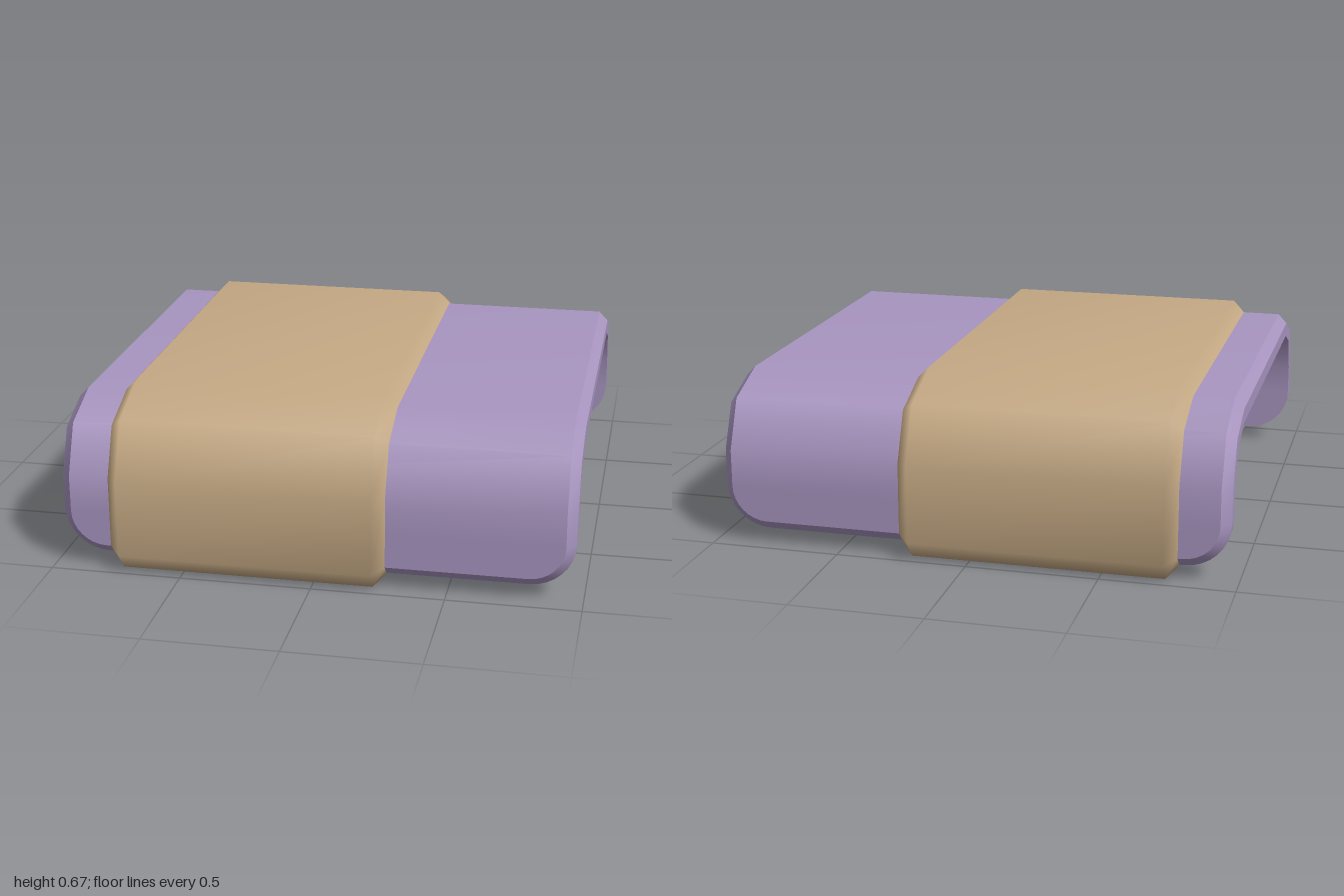
import * as THREE from 'three';
import { mergeGeometries } from 'three/addons/utils/BufferGeometryUtils.js';

// Smooth surface through rows of [x, y, z] points
function grid(rows) {
  const n = rows[0].length, index = [];
  for (let r = 0; r < rows.length - 1; r++) {
    for (let c = 0; c < n - 1; c++) {
      const a = r * n + c, d = a + n;
      index.push(a, a + 1, d + 1, a, d + 1, d);
    }
  }
  const g = new THREE.BufferGeometry();
  g.setAttribute('position', new THREE.Float32BufferAttribute(rows.flat(2), 3));
  g.setIndex(index);
  g.computeVertexNormals();
  return g;
}

// Continue stations of one leg over the top and down the other side
const mirror = (half) => [
  ...half,
  ...half.slice().reverse().map((row) => row.map(([x, y, z]) => [x, y, -z])),
];

// Thick draped sheet with rounded corners and a chamfered outer rim
function sheetGeometry() {
  const half = [];
  const station = (hw, rimHw, inner, outer, mid) => {
    const [zi, yi] = inner, [zo, yo] = outer, [zm, ym] = mid;
    half.push([
      [-hw, yi, zi], [-hw, ym, zm], [-rimHw, yo, zo],
      [rimHw, yo, zo], [hw, ym, zm], [hw, yi, zi],
    ]);
  };
  // rounded lower corners
  const steps = 8;
  for (let i = 0; i <= steps; i++) {
    const a = (i / steps) * Math.PI / 2, s = Math.sin(a), c = 1 - Math.cos(a);
    const y = 0.05 + 0.17 * c;
    station(0.797 + 0.17 * s, 0.797 + 0.134 * s, [0.86, y], [0.95, 0.087 + 0.133 * c], [0.914, y]);
  }
  // bends of the arch
  const bends = [[0.86, 0.335, 0.95, 0.36], [0.8, 0.475, 0.873, 0.545], [0.67, 0.528, 0.682, 0.62]];
  for (const [zi, yi, zo, yo] of bends) {
    station(0.967, 0.931, [zi, yi], [zo, yo], [zo + (zi - zo) * 0.4, yo + (yi - yo) * 0.4]);
  }

  const rows = mirror(half), parts = [];
  // faces running along the arch, each with its own normals
  for (let k = 0; k < 6; k++) parts.push(grid(rows.map((r) => [r[k], r[(k + 1) % 6]])));
  // bottom ends
  const first = rows[0], last = rows[rows.length - 1];
  for (let k = 0; k < 2; k++) {
    parts.push(grid([[first[k], first[5 - k]], [first[k + 1], first[4 - k]]]));
    parts.push(grid([[last[k + 1], last[4 - k]], [last[k], last[5 - k]]]));
  }
  return mergeGeometries(parts);
}

// Wider band wrapped across the sheet, its sides bevelled down to it
function bandGeometry() {
  const edge = [[0.86, 0.045], [0.91, 0.045], [0.95, 0.087], [0.95, 0.36], [0.873, 0.545], [0.682, 0.62]];
  const face = [[0.86, 0], [0.94, 0], [1, 0.07], [1, 0.37], [0.91, 0.58], [0.69, 0.667]];
  const half = edge.map(([ze, ye], i) => {
    const [zf, yf] = face[i];
    return [[-0.78, ye, ze], [-0.735, yf, zf], [0.223, yf, zf], [0.27, ye, ze]];
  });
  const rows = mirror(half), first = rows[0], last = rows[rows.length - 1];
  return mergeGeometries([
    grid(rows),
    // hem ends facing inwards
    grid([[first[0], first[3]], [first[1], first[2]]]),
    grid([[last[1], last[2]], [last[0], last[3]]]),
  ]);
}

export function createModel() {
  const lilac = new THREE.MeshStandardMaterial({ color: 0xa895c0 });
  lilac.name = 'lilac';
  const tan = new THREE.MeshStandardMaterial({ color: 0xc5a984, side: THREE.DoubleSide });
  tan.name = 'tan';

  const group = new THREE.Group();
  group.name = 'drapedBlanket';
  const add = (name, geometry, material) => {
    const mesh = new THREE.Mesh(geometry, material);
    mesh.name = name;
    group.add(mesh);
  };
  add('blanket', sheetGeometry(), lilac);
  add('blanketBand', bandGeometry(), tan);
  return group;
}
